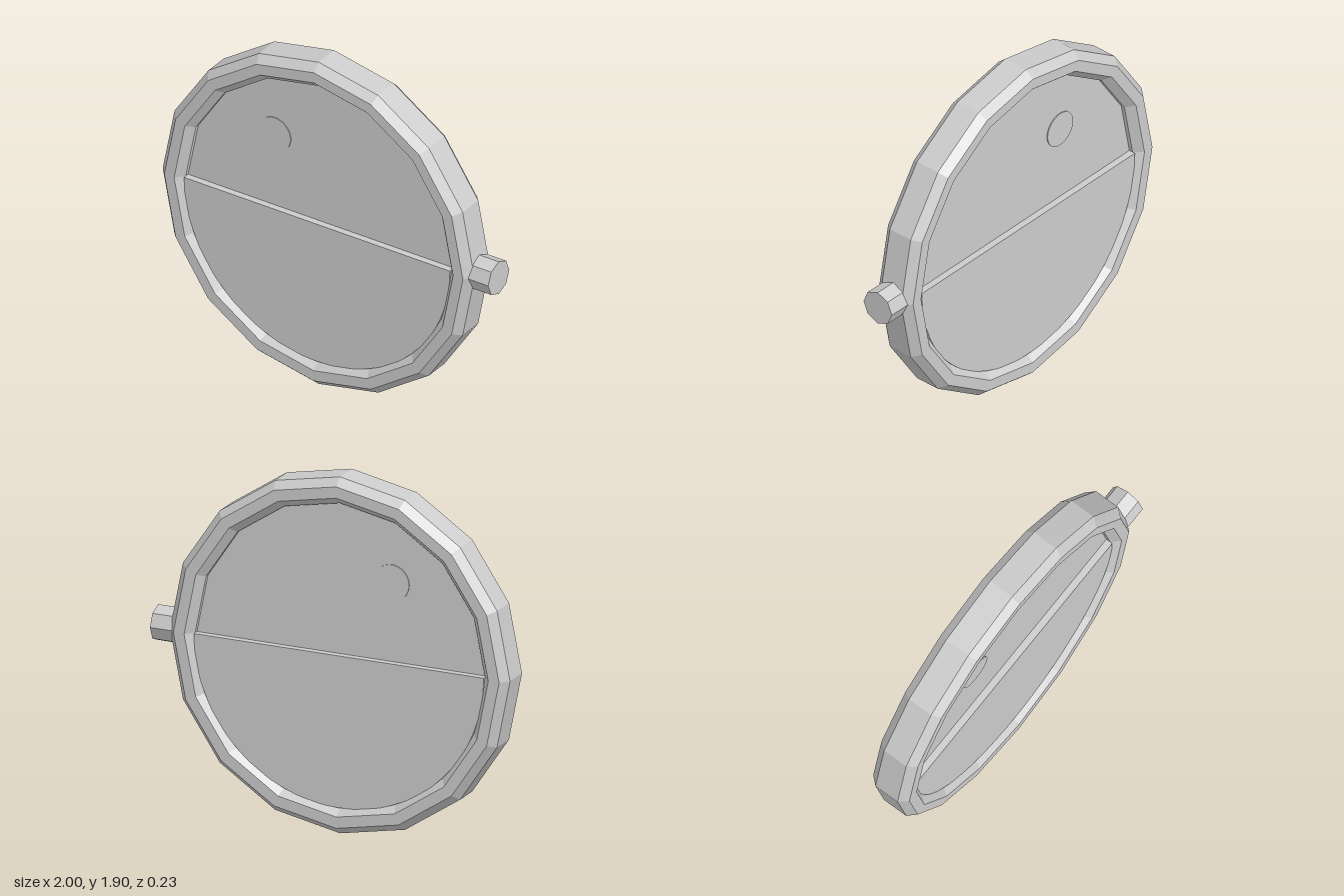
import * as THREE from 'three';

const grey = new THREE.MeshStandardMaterial({ name: 'pale grey', color: 0xcccccc, flatShading: true });

function part(name, geometry) {
  const mesh = new THREE.Mesh(geometry, grey);
  mesh.name = name;
  return mesh;
}

// Half disc spanning the angles start..end, centred on z = 0
function halfDisc(radius, start, end, halfDepth) {
  const shape = new THREE.Shape();
  shape.absarc(0, 0, radius, start, end, false);
  shape.closePath();
  return new THREE.ExtrudeGeometry(shape, { depth: halfDepth * 2, bevelEnabled: false, curveSegments: 16 })
    .translate(0, 0, -halfDepth);
}

export function createModel() {
  const model = new THREE.Group();
  model.name = 'roundFlask';

  const body = new THREE.Group();
  body.name = 'body';
  body.position.set(-0.05, 0.95, 0);
  model.add(body);

  // Sixteen-sided rim with a flattened octagonal section
  const profile = [
    [0.95, -0.07], [0.95, 0.07], [0.91, 0.115], [0.85, 0.115],
    [0.81, 0.07], [0.81, -0.07], [0.85, -0.115], [0.91, -0.115], [0.95, -0.07],
  ].map(([r, z]) => new THREE.Vector2(r, z));
  body.add(part('rim', new THREE.LatheGeometry(profile, 16).rotateX(Math.PI / 2)));

  // Recessed upper half and raised lower half
  body.add(part('upperPane', halfDisc(0.81, 0, Math.PI, 0.048)));
  body.add(part('lowerPane', halfDisc(0.81, Math.PI, Math.PI * 2, 0.085)));

  // Thin round spot on both faces of the upper half
  for (const side of [1, -1]) {
    const spot = part(side > 0 ? 'frontSpot' : 'backSpot',
      new THREE.CylinderGeometry(0.097, 0.097, 0.006, 32).rotateX(Math.PI / 2));
    spot.position.set(-0.28, 0.42, side * 0.05);
    body.add(spot);
  }

  // Octagonal stopper on the side
  const stopper = part('stopper', new THREE.CylinderGeometry(0.095, 0.095, 0.15, 8).rotateZ(Math.PI / 2));
  stopper.position.set(0.925, 0.95, 0);
  model.add(stopper);

  return model;
}
